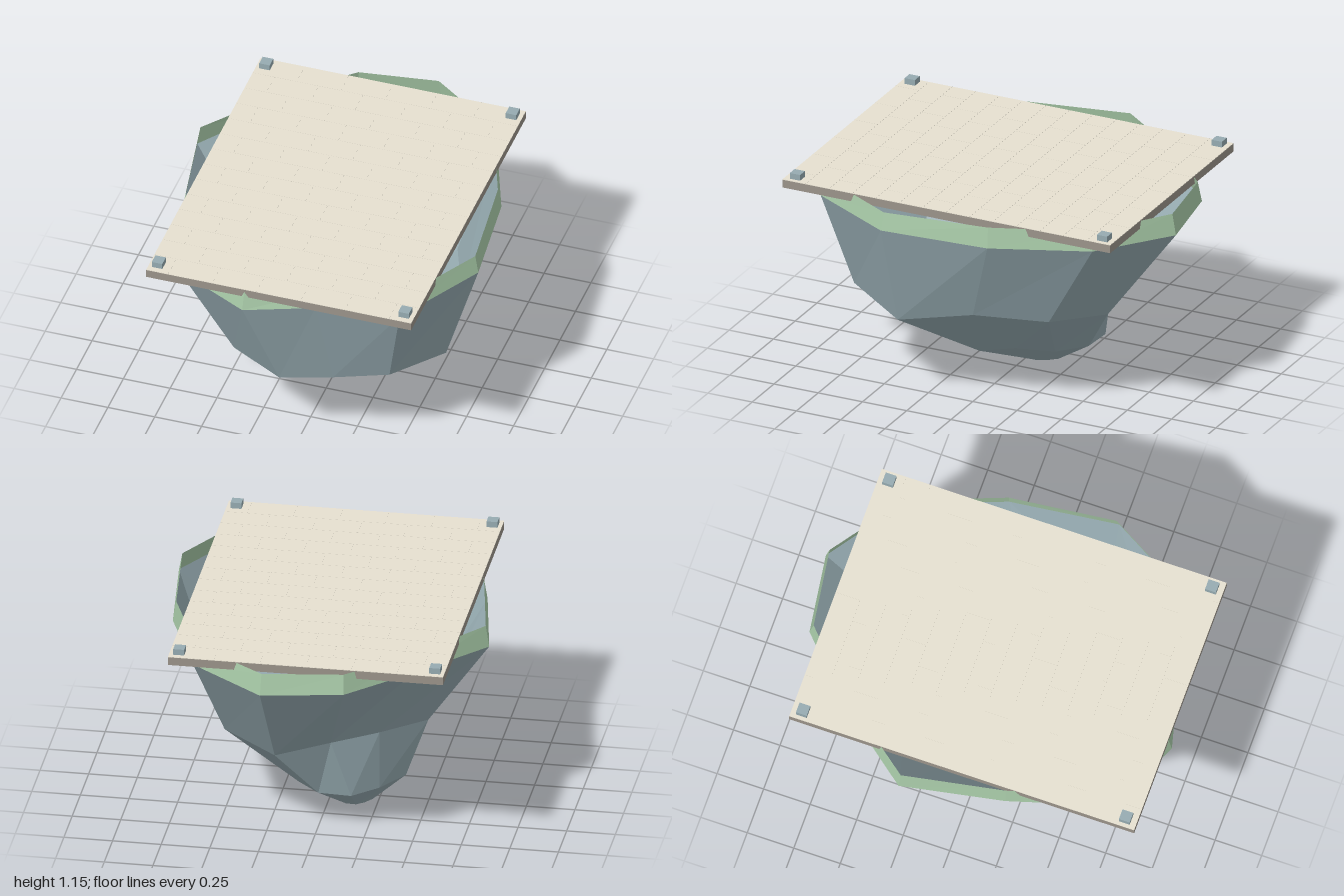
import * as THREE from 'three';

const rock = new THREE.MeshStandardMaterial({ color: 0x96abb1, side: THREE.DoubleSide });
rock.name = 'slate rock';
const grass = new THREE.MeshStandardMaterial({ color: 0xa6c8a6, side: THREE.DoubleSide });
grass.name = 'pale green';
const slabStone = new THREE.MeshStandardMaterial({ color: 0x9a938a });
slabStone.name = 'taupe stone';
const paving = new THREE.MeshStandardMaterial({ color: 0xe6e0d0 });
paving.name = 'sand paving';

// Irregular cross-sections, twelve points each, counterclockwise from the front
const rim = [
  [-0.2, 1.0, 1.0], [0.16, 1.035, 0.91], [0.58, 1.015, 0.82], [0.845, 1.018, 0.35],
  [0.78, 1.005, -0.22], [0.59, 1.01, -0.72], [0.2, 1.0, -1.0], [-0.22, 1.01, -0.94],
  [-0.53, 1.02, -0.65], [-0.85, 1.0, -0.24], [-0.75, 1.007, 0.3], [-0.6, 1.025, 0.82],
];
const waist = [
  [-0.07, 0.455, 0.8], [0.2, 0.48, 0.745], [0.48, 0.517, 0.68], [0.67, 0.455, 0.34],
  [0.62, 0.54, -0.06], [0.48, 0.515, -0.42], [0.19, 0.48, -0.61], [-0.08, 0.52, -0.5],
  [-0.31, 0.54, -0.38], [-0.52, 0.515, -0.14], [-0.46, 0.5, 0.22], [-0.35, 0.49, 0.68],
];
const foot = [
  [-0.18, 0.25, 0.38], [-0.02, 0.18, 0.3], [0.1, 0.15, 0.23], [0.22, 0.15, 0.1],
  [0.21, 0.2, -0.1], [0.12, 0.18, -0.28], [0, 0.19, -0.41], [-0.17, 0.19, -0.42],
  [-0.3, 0.2, -0.32], [-0.41, 0.21, -0.17], [-0.38, 0.165, 0.04], [-0.32, 0.185, 0.22],
];
const apex = [-0.15, 0, -0.09];
const tip = foot.map(([x, , z]) => [apex[0] + (x - apex[0]) * 0.3, 0.032, apex[2] + (z - apex[2]) * 0.3]);
const lip = rim.map(([x, , z]) => [x * 0.978, 1.113, z * 0.978]);

// Faceted skin through a list of rings, lowest first
function skin(rings) {
  const pos = [];
  for (let r = 0; r < rings.length - 1; r++) {
    const lo = rings[r], hi = rings[r + 1];
    for (let i = 0; i < lo.length; i++) {
      const j = (i + 1) % lo.length;
      pos.push(...lo[i], ...lo[j], ...hi[j], ...lo[i], ...hi[j], ...hi[i]);
    }
  }
  return facets(pos);
}

// Fan of faces closing a ring at a lower point
function fan(ring, point) {
  return facets(ring.flatMap((p, i) => [...point, ...ring[(i + 1) % ring.length], ...p]));
}

function facets(pos) {
  const g = new THREE.BufferGeometry();
  g.setAttribute('position', new THREE.Float32BufferAttribute(pos, 3));
  g.computeVertexNormals();
  return g;
}

export function createModel() {
  const model = new THREE.Group();
  model.name = 'floatingPlatform';

  const add = (parent, name, geometry, material) => {
    const mesh = new THREE.Mesh(geometry, material);
    mesh.name = name;
    parent.add(mesh);
    return mesh;
  };
  const box = (parent, name, material, x0, x1, y0, y1, z0, z1) => {
    const mesh = add(parent, name, new THREE.BoxGeometry(x1 - x0, y1 - y0, z1 - z0), material);
    mesh.position.set((x0 + x1) / 2, (y0 + y1) / 2, (z0 + z1) / 2);
  };

  // Hollow rock with a green rim
  add(model, 'rockBowl', skin([tip, foot, waist, rim]), rock);
  add(model, 'rockTip', fan(tip, apex), rock);
  add(model, 'grassRim', skin([rim, lip]), grass);

  // Stone slab and its paved bed
  const x0 = -0.72, x1 = 0.695, z0 = -0.873, z1 = 0.98;
  box(model, 'slab', slabStone, x0, x1, 1.073, 1.116, z0, z1);
  box(model, 'pavingBed', paving, x0, x1, 1.116, 1.1175, z0, z1);

  // Paving stones in running bond
  const stones = new THREE.Group();
  stones.name = 'pavingStones';
  model.add(stones);
  const rows = 14, depth = (z1 - z0) / rows, width = (x1 - x0) / 6, gap = 0.001;
  for (let r = 0; r < rows; r++) {
    const shift = r % 2 ? width / 2 : 0;
    for (let c = 0; c < 7; c++) {
      const a = Math.max(x0, x0 + c * width - shift);
      const b = Math.min(x1, x0 + (c + 1) * width - shift);
      if (b - a < 0.01) continue;
      box(stones, 'pavingStone', paving, a + gap, b - gap, 1.1175, 1.1185,
        z0 + r * depth + gap, z0 + (r + 1) * depth - gap);
    }
  }

  // Corner blocks
  for (const x of [-0.672, 0.644]) {
    for (const z of [-0.815, 0.92]) {
      box(model, 'cornerBlock', rock, x - 0.028, x + 0.028, 1.1175, 1.15, z - 0.029, z + 0.029);
    }
  }
  return model;
}
